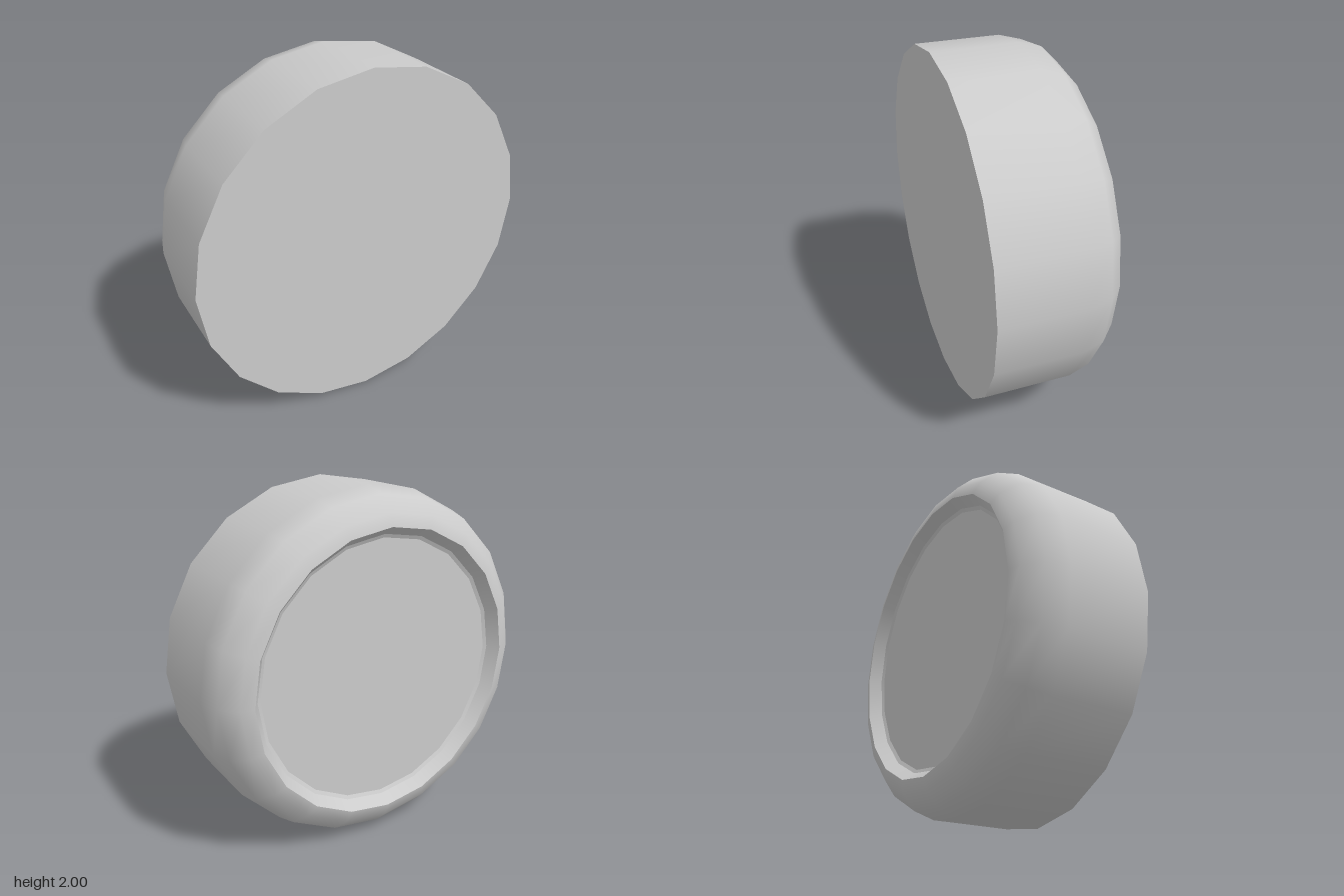
import * as THREE from 'three';

const SIDES = 20;
const material = new THREE.MeshStandardMaterial({ color: 0xcccccc });

// Revolve a [radius, z] profile about the z axis; smooth within one profile
function revolve(name, profile) {
  const points = profile.map(([r, z]) => new THREE.Vector2(r, z));
  const geometry = new THREE.LatheGeometry(points, SIDES);
  geometry.rotateX(Math.PI / 2);
  const mesh = new THREE.Mesh(geometry, material);
  mesh.name = name;
  mesh.position.y = 1;
  return mesh;
}

export function createModel() {
  const group = new THREE.Group();
  group.name = 'roundCap';

  // Separate profiles keep the edges between them sharp
  group.add(
    revolve('recessFloor', [[0, -0.28], [0.745, -0.28]]),
    revolve('recessStep', [[0.745, -0.28], [0.765, -0.29]]),
    revolve('recessWall', [[0.765, -0.29], [0.81, -0.355]]),
    // Rounded back shoulder running into the straight side
    revolve('outerShell', [
      [0.81, -0.355], [0.88, -0.335], [0.965, -0.25], [1, -0.125], [1, 0.355],
    ]),
    revolve('frontFace', [[1, 0.355], [0, 0.355]]),
  );
  return group;
}
